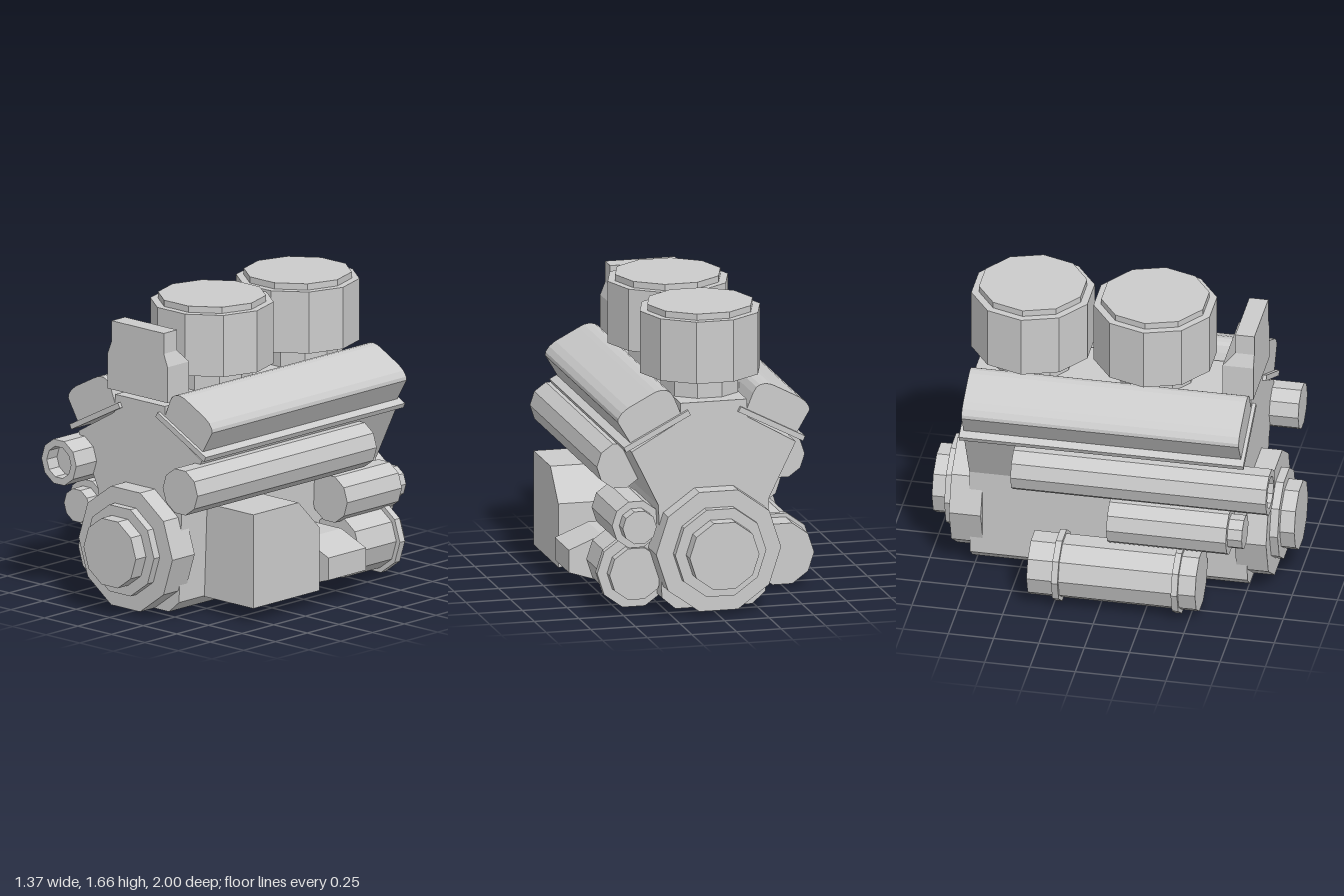
import * as THREE from 'three';

const mat = new THREE.MeshStandardMaterial({ color: 0xcccccc, flatShading: true, side: THREE.DoubleSide });

export function createModel() {
  const group = new THREE.Group();

  const add = (name, geo) => {
    const mesh = new THREE.Mesh(geo, mat);
    mesh.name = name;
    group.add(mesh);
    return mesh;
  };

  const shapeOf = (pts) => new THREE.Shape(pts.map(([x, y]) => new THREE.Vector2(x, y)));

  // Outline in x/y, extruded from z0 to z1
  const prism = (name, pts, z0, z1) => {
    const geo = new THREE.ExtrudeGeometry(shapeOf(pts), { depth: z1 - z0, bevelEnabled: false });
    return add(name, geo.translate(0, 0, z0));
  };

  // Ten-sided turned part; profile of [radius, distance along axis]
  const lathe = (profile) =>
    new THREE.LatheGeometry(profile.map(([r, d]) => new THREE.Vector2(r, d)), 10, Math.PI / 2);
  const turnedZ = (name, x, y, profile) =>
    add(name, lathe(profile).rotateX(Math.PI / 2).translate(x, y, 0));

  // Engine block, mirrored half outline
  const half = [[0.215, 0.045], [0.29, 0.11], [0.31, 0.63], [0.46, 0.935], [0.19, 1.09], [0.185, 1.19]];
  const mirrored = half.map(([x, y]) => [-x, y]).reverse();
  prism('engineBlock', [...half, ...mirrored], -0.77, 0.76);

  // Valve covers and their gasket plates on both banks
  const cover = [[0.18, 1.12], [0.46, 0.975], [0.537, 1.105], [0.535, 1.125], [0.515, 1.155], [0.48, 1.182],
    [0.35, 1.25], [0.32, 1.264], [0.29, 1.27], [0.26, 1.265], [0.24, 1.253], [0.22, 1.22]];
  const plate = [[0.133, 1.126], [0.495, 0.94], [0.508, 0.967], [0.148, 1.153]];
  for (const s of [1, -1]) {
    const flip = (pts) => pts.map(([x, y]) => [s * x, y]);
    const side = s > 0 ? 'left' : 'right';
    prism(side + 'ValveCover', flip(cover), -0.77, 0.76);
    prism(side + 'GasketPlate', flip(plate), -0.79, 0.78);
  }

  // Stepped pulleys at both ends
  const pulley = [[0, 0.7], [0.35, 0.7], [0.35, 0.875], [0.255, 0.875], [0.255, 0.92], [0.195, 0.92], [0.195, 1], [0, 1]];
  turnedZ('frontPulley', 0, 0.38, pulley);
  turnedZ('backPulley', 0, 0.38, pulley).rotation.y = Math.PI;

  // Air filters on necks
  for (const [name, z] of [['frontAirFilter', 0.195], ['backAirFilter', -0.48]]) {
    const geo = lathe([[0, 1.05], [0.22, 1.05], [0.22, 1.3], [0.337, 1.3], [0.337, 1.645], [0.295, 1.645], [0.295, 1.68], [0, 1.68]]);
    add(name, geo.translate(0, 0, z));
  }

  // Upright intake housing: four levels of [height, half width, rear z]
  const levels = [[1.22, 0.223, 0.61], [1.42, 0.223, 0.61], [1.49, 0.195, 0.675], [1.605, 0.195, 0.675]];
  const housing = new THREE.BoxGeometry(2, 3, 2, 1, 3, 1);
  const p = housing.attributes.position;
  for (let i = 0; i < p.count; i++) {
    const [y, w, back] = levels[Math.round(p.getY(i) + 1.5)];
    p.setXYZ(i, Math.sign(p.getX(i)) * w, y, p.getZ(i) > 0 ? 0.78 : back);
  }
  add('intakeHousing', housing);

  // Exhaust pipes: left closed, right with an open front mouth
  turnedZ('leftExhaustPipe', 0.45, 0.79, [[0, -0.49], [0.13, -0.49], [0.13, 0.92], [0, 0.92]]);
  turnedZ('rightExhaustPipe', -0.455, 0.79,
    [[0, -0.49], [0.13, -0.49], [0.13, 0.92], [0.09, 0.92], [0.09, 0.84], [0, 0.84]]);

  // Canisters with a narrower end
  turnedZ('rightCanister', -0.455, 0.52,
    [[0, 0.04], [0.135, 0.04], [0.135, 0.7], [0.095, 0.7], [0.095, 0.78], [0, 0.78]]);
  turnedZ('leftCanister', 0.42, 0.515,
    [[0, -0.79], [0.095, -0.79], [0.095, -0.715], [0.135, -0.715], [0.135, -0.285], [0, -0.285]]);

  // Flanged drums low on the sides
  turnedZ('rightDrum', -0.488, 0.21,
    [[0, -0.385], [0.178, -0.385], [0.178, -0.245], [0.2, -0.245], [0.2, -0.21], [0.178, -0.21],
      [0.178, 0.415], [0.2, 0.415], [0.2, 0.45], [0.178, 0.45], [0.178, 0.545], [0, 0.545]]);
  turnedZ('leftDrum', 0.42, 0.24,
    [[0, -0.72], [0.15, -0.72], [0.15, -0.665], [0.205, -0.665], [0.205, -0.625], [0.178, -0.625],
      [0.178, -0.335], [0, -0.335]]);

  // Side case with a sloping rear corner, extruded across x
  const caseGeo = new THREE.ExtrudeGeometry(
    shapeOf([[-0.56, 0.105], [-0.04, 0.105], [-0.04, 0.46], [-0.205, 0.63], [-0.56, 0.63]]),
    { depth: 0.375, bevelEnabled: false });
  add('sideCase', caseGeo.rotateY(Math.PI / 2).translate(0.28, 0, 0));

  // Faceted bracket behind the case
  prism('sideBracket',
    [[0.28, 0.1], [0.5, 0.1], [0.685, 0.16], [0.685, 0.285], [0.5, 0.36], [0.28, 0.36]], -0.295, 0);

  return group;
}
